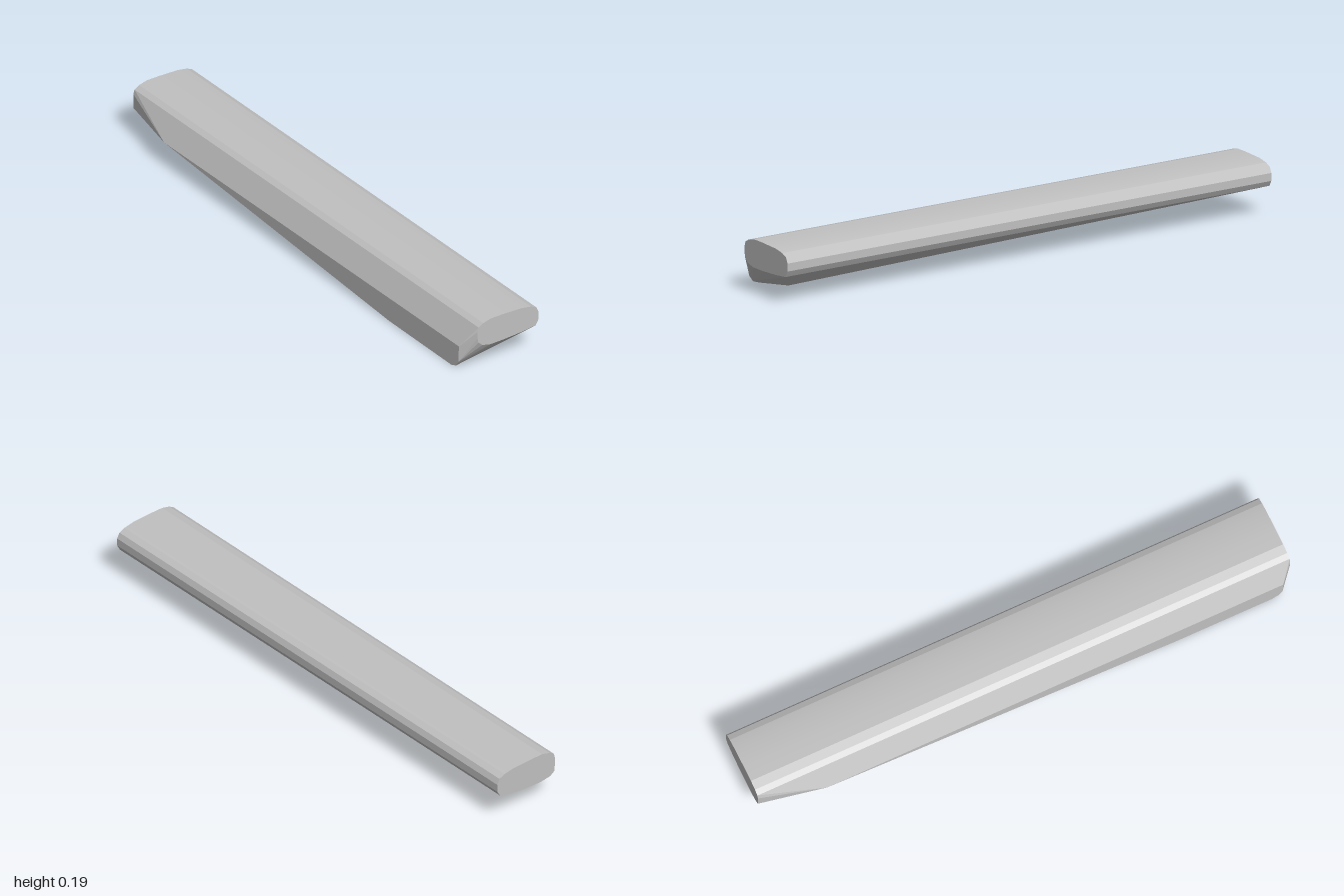
import * as THREE from 'three';
import { ConvexGeometry } from 'three/addons/geometries/ConvexGeometry.js';
import { toCreasedNormals } from 'three/addons/utils/BufferGeometryUtils.js';

export function createModel() {
  const group = new THREE.Group();
  const grey = new THREE.MeshStandardMaterial({ color: 0xc0c0c0 });
  grey.name = 'light grey';

  // Rounded upper outline shared by both ends, as [z, y]
  const upper = [
    [0.106, 0.13], [0.106, 0.155], [0.101, 0.171], [0.082, 0.182], [0.05, 0.19], [0, 0.19],
    [-0.08, 0.187], [-0.118, 0.18], [-0.14, 0.17], [-0.15, 0.15], [-0.15, 0.122],
  ];
  // Underside of each end
  const lowerLeft = [[0.102, 0.112], [0.085, 0.098], [0.055, 0.09], [0, 0.09], [-0.08, 0.094], [-0.138, 0.1]];
  const lowerRight = [[0.105, 0.1], [0.085, 0.086], [0.04, 0.08], [-0.04, 0.083], [-0.1, 0.091], [-0.138, 0.102]];

  const points = [];
  const addEnd = (x, outline) => outline.forEach(([z, y]) => points.push(new THREE.Vector3(x, y, z)));
  addEnd(1, [...upper, ...lowerLeft]);
  addEnd(-1, [...upper, ...lowerRight]);

  // Flat front face, tapering along its lower edge, as [x, y]
  const front = [[-0.76, 0.092], [0.55, 0.003], [0.91, 0], [0.935, 0.009], [0.95, 0.03], [0.953, 0.092]];
  front.forEach(([x, y]) => points.push(new THREE.Vector3(x, y, 0.15)));

  // Rear corner of the sloping underside
  points.push(new THREE.Vector3(0.92, 0.035, -0.04));

  const body = new THREE.Mesh(toCreasedNormals(new ConvexGeometry(points), 0.15), grey);
  body.name = 'taperedBar';
  group.add(body);
  return group;
}
